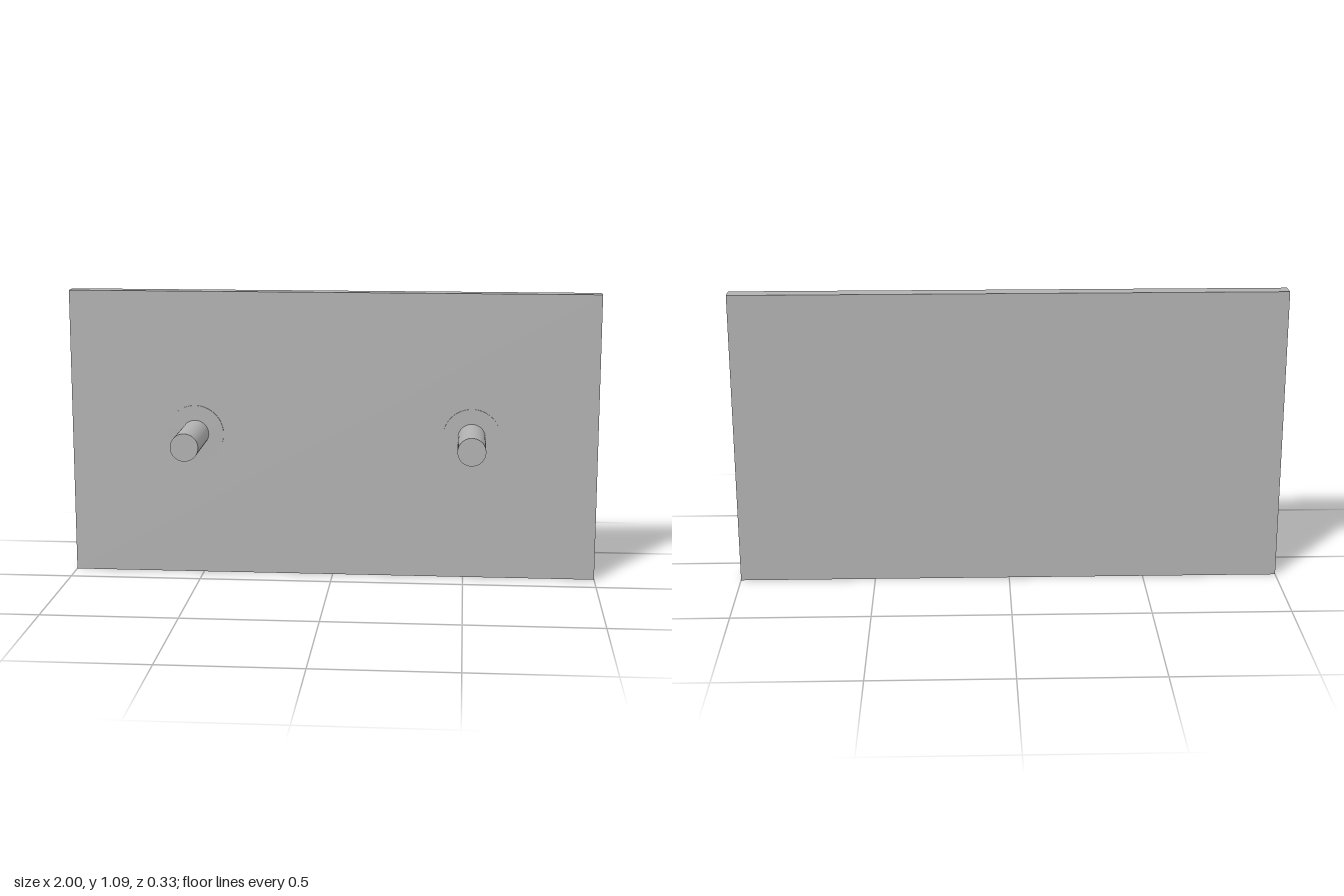
import * as THREE from 'three';

export function createModel() {
  const group = new THREE.Group();
  const grey = new THREE.MeshStandardMaterial({ color: 0xb2b2b2 });
  grey.name = 'plain grey';

  const height = 1.09, midY = height / 2;
  const backZ = -0.165, faceZ = -0.105, tipZ = 0.165;

  // Upright rectangular panel
  const panel = new THREE.Mesh(new THREE.BoxGeometry(2, height, faceZ - backZ), grey);
  panel.name = 'panel';
  panel.position.set(0, midY, (backZ + faceZ) / 2);
  group.add(panel);

  // Round part standing out from the panel face
  function addRound(name, x, radius, length) {
    const geometry = new THREE.CylinderGeometry(radius, radius, length, 64);
    geometry.rotateX(Math.PI / 2);
    const mesh = new THREE.Mesh(geometry, grey);
    mesh.name = name;
    mesh.position.set(x, midY, faceZ + length / 2);
    group.add(mesh);
  }

  // A peg with a thin washer on each side
  for (const [side, sign] of [['left', 1], ['right', -1]]) {
    addRound(side + 'Peg', sign * 0.526, 0.052, tipZ - faceZ);
    addRound(side + 'Washer', sign * 0.526, 0.109, 0.004);
  }

  return group;
}
